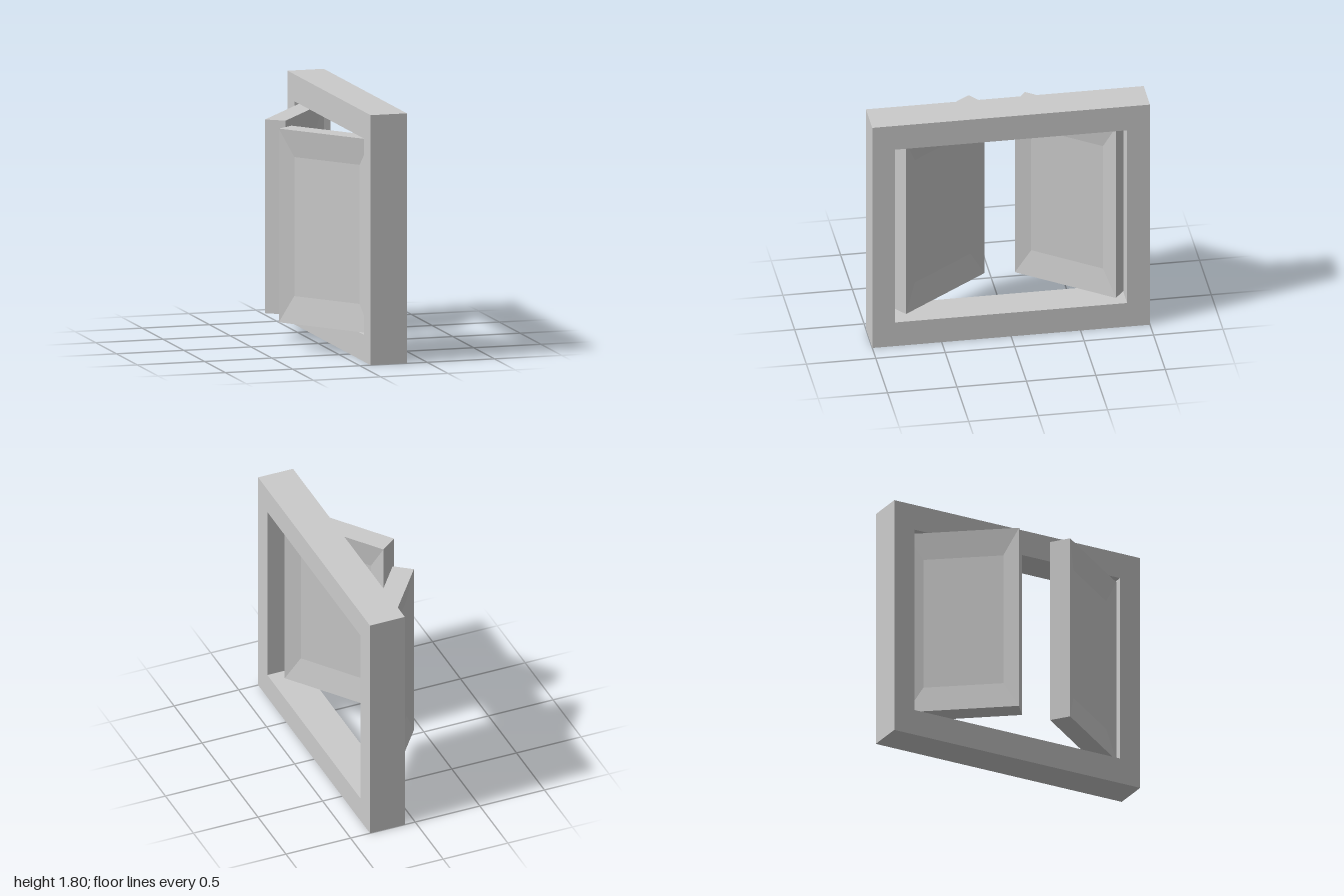
import * as THREE from 'three';

const material = new THREE.MeshStandardMaterial({ color: 0xcccccc, flatShading: true });

function rectangle(target, x0, y0, x1, y1) {
  target.moveTo(x0, y0);
  target.lineTo(x1, y0);
  target.lineTo(x1, y1);
  target.lineTo(x0, y1);
  target.closePath();
  return target;
}

// Square window frame standing in the z-y plane
function createFrame() {
  const shape = rectangle(new THREE.Shape(), -1, 0, 1, 1.8);
  shape.holes.push(rectangle(new THREE.Path(), -0.835, 0.193, 0.835, 1.606));
  const geometry = new THREE.ExtrudeGeometry(shape, { depth: 0.27, bevelEnabled: false });
  geometry.rotateY(-Math.PI / 2);
  geometry.translate(0.35, 0, 0);
  const frame = new THREE.Mesh(geometry, material);
  frame.name = 'windowFrame';
  return frame;
}

// Shutter panel: four rectangular rings, the outer two of full size,
// the first and last smaller and sunk to form a sloped recess on each face
function createShutterGeometry(length, height, thickness) {
  const marginX = 0.117, marginY = 0.197, depth = 0.026;
  const rings = [
    [marginX, marginY, -thickness / 2 + depth],
    [0, 0, -thickness / 2],
    [0, 0, thickness / 2],
    [marginX, marginY, thickness / 2 - depth],
  ];
  const positions = [];
  const index = [];
  rings.forEach(([mx, my, z], r) => {
    const x = length / 2 - mx, y = height / 2 - my;
    positions.push(-x, -y, z, x, -y, z, x, y, z, -x, y, z);
    if (r === rings.length - 1) return;
    for (let i = 0; i < 4; i++) {
      const a = r * 4 + i, b = r * 4 + (i + 1) % 4;
      index.push(a, b, b + 4, a, b + 4, a + 4);
    }
  });
  index.push(0, 2, 1, 0, 3, 2, 12, 13, 14, 12, 14, 15);
  const indexed = new THREE.BufferGeometry();
  indexed.setAttribute('position', new THREE.Float32BufferAttribute(positions, 3));
  indexed.setIndex(index);
  const geometry = indexed.toNonIndexed();
  geometry.computeVertexNormals();
  return geometry;
}

export function createModel() {
  const group = new THREE.Group();
  group.name = 'shutteredWindow';
  group.add(createFrame());

  // Two shutters swung open, hinged near the sides of the frame
  const geometry = createShutterGeometry(0.807, 1.395, 0.155);
  const swing = Math.atan2(0.8, 0.6);
  for (const [name, x, z] of [['leftShutter', -0.048, 0.465], ['rightShutter', -0.026, -0.49]]) {
    const shutter = new THREE.Mesh(geometry, material);
    shutter.name = name;
    shutter.position.set(x, 0.8975, z);
    shutter.rotation.y = -Math.sign(z) * swing;
    group.add(shutter);
  }
  return group;
}
